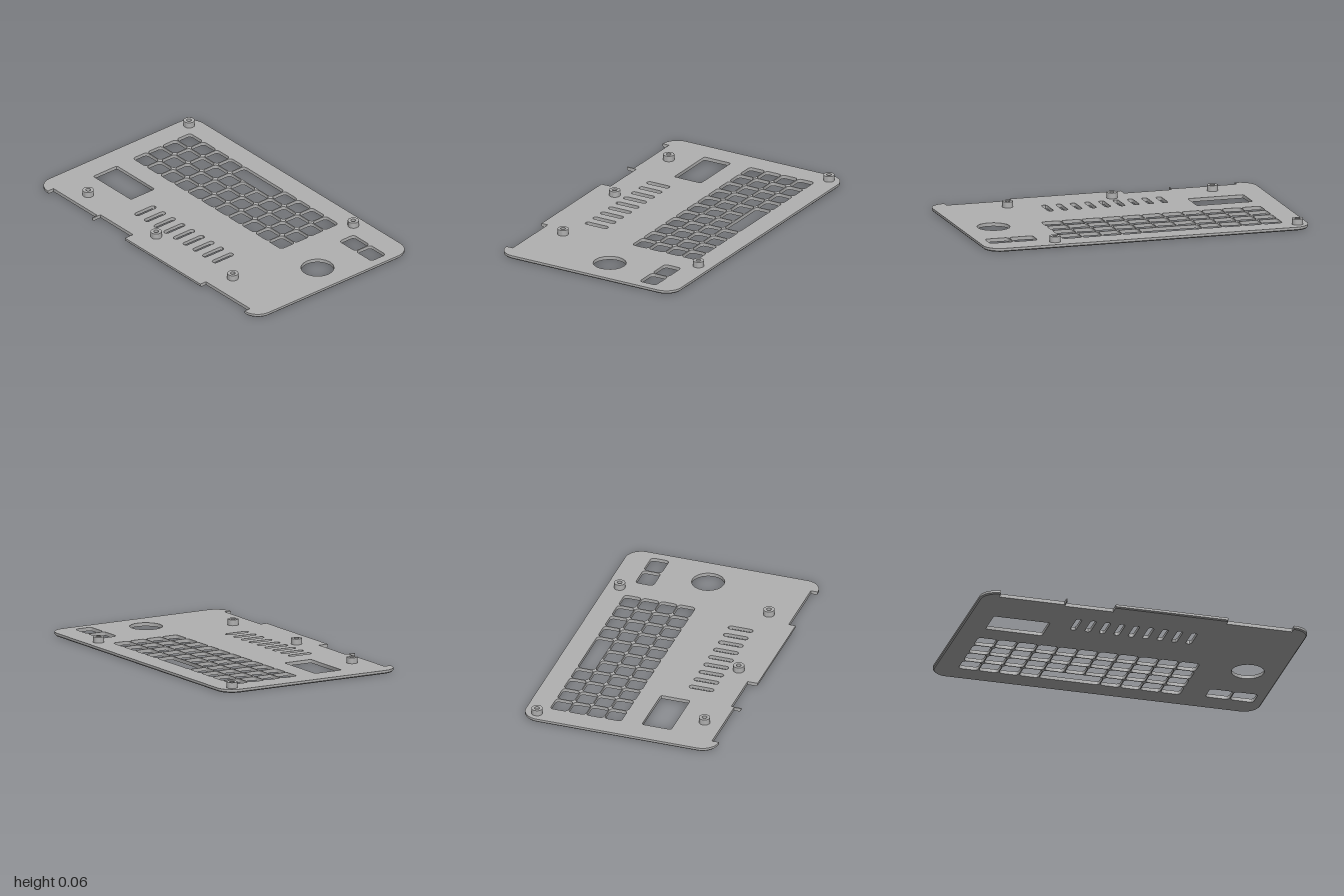
import * as THREE from 'three';
import { toCreasedNormals } from 'three/addons/utils/BufferGeometryUtils.js';

const W = 1, D = 0.6, R = 0.1;          // half width, half depth, corner radius
const THICK = 0.021, CHAMFER = 0.007;   // plate thickness, lower edge chamfer

// Shapes are drawn with y = -z, then laid flat.
function roundedRect(x0, x1, z0, z1, r) {
  const p = new THREE.Path(), a = -z1, b = -z0, H = Math.PI / 2;
  p.absarc(x1 - r, a + r, r, -H, 0);
  p.absarc(x1 - r, b - r, r, 0, H);
  p.absarc(x0 + r, b - r, r, H, 2 * H);
  p.absarc(x0 + r, a + r, r, 2 * H, 3 * H);
  p.closePath();
  return p;
}

// Outer outline with the connector notches and thin tab along the front edge
function plateOutline() {
  const s = new THREE.Shape(), H = Math.PI / 2;
  s.absarc(W - R, D - R, R, 0, H);
  s.absarc(-W + R, D - R, R, H, 2 * H);
  s.absarc(-W + R, -D + R, R, 2 * H, 3 * H);
  const front = [
    [-0.897, 0.6], [-0.897, 0.557], [-0.497, 0.557], [-0.497, 0.6], [-0.49, 0.6],
    [-0.49, 0.538], [-0.194, 0.538], [-0.194, 0.6],
    [0.494, 0.6], [0.494, 0.557], [0.896, 0.557], [0.896, 0.6],
  ];
  front.forEach(([x, z]) => s.lineTo(x, -z));
  s.absarc(W - R, -D + R, R, 3 * H, 4 * H);
  s.closePath();
  return s;
}

// Pull the lowest ring of the outer rim inwards
function chamferRim(geo) {
  const p = geo.attributes.position;
  for (let i = 0; i < p.count; i++) {
    if (p.getY(i) > 1e-4) continue;
    const x = p.getX(i), z = p.getZ(i);
    const cx = THREE.MathUtils.clamp(x, -W + R, W - R);
    const cz = THREE.MathUtils.clamp(z, -D + R, D - R);
    const d = Math.hypot(x - cx, z - cz);
    if (d > R - CHAMFER) {
      const k = (R - CHAMFER) / d;
      p.setX(i, cx + (x - cx) * k);
      p.setZ(i, cz + (z - cz) * k);
    }
  }
}

export function createModel() {
  const model = new THREE.Group();
  model.name = 'keyboardFacePlate';
  const grey = new THREE.MeshStandardMaterial({ color: 0xb0b0b0 });
  grey.name = 'plastic grey';

  const outline = plateOutline();
  const cut = (...a) => outline.holes.push(roundedRect(...a));

  // Key openings: 4 rows of 11, with a three-column bar in the rear row
  const px = 0.1237, pz = 0.1123, gap = 0.006;
  for (let row = 0; row < 4; row++) {
    for (let col = 0; col < 11; col++) {
      if (row === 0 && (col === 5 || col === 6)) continue;
      const span = row === 0 && col === 4 ? 3 : 1;
      const x = -0.862 + col * px, z = -0.468 + row * pz;
      cut(x + gap / 2, x + span * px - gap / 2, z + gap / 2, z + pz - gap / 2, 0.022);
    }
  }
  // Two side buttons, display window, round opening
  cut(0.648, 0.793, -0.452, -0.34, 0.022);
  cut(0.8, 0.943, -0.452, -0.34, 0.022);
  cut(-0.853, -0.508, 0.105, 0.288, 0.012);
  const round = new THREE.Path();
  round.absarc(0.796, 0.048, 0.098, 0, Math.PI * 2);
  outline.holes.push(round);
  // Speaker slots
  for (let i = 0; i < 9; i++) {
    const x = -0.355 + i * 0.0883;
    cut(x - 0.0175, x + 0.0175, 0.23, 0.383, 0.0174);
  }

  const plateGeo = new THREE.ExtrudeGeometry(outline, {
    depth: THICK, steps: 3, bevelEnabled: false, curveSegments: 10,
  });
  plateGeo.rotateX(-Math.PI / 2);
  chamferRim(plateGeo);
  const plate = new THREE.Mesh(toCreasedNormals(plateGeo, 0.6), grey);
  plate.name = 'plate';
  model.add(plate);

  // Hollow screw bosses
  const profile = [[0.033, THICK - 0.002], [0.033, 0.056], [0.0145, 0.056], [0.0145, THICK - 0.002]]
    .map(([x, y]) => new THREE.Vector2(x, y));
  const bossGeo = toCreasedNormals(new THREE.LatheGeometry(profile, 32), 0.6);
  [[-0.933, -0.52], [0.565, -0.52], [-0.711, 0.447], [-0.09, 0.447], [0.565, 0.41]].forEach(([x, z]) => {
    const boss = new THREE.Mesh(bossGeo, grey);
    boss.name = 'screwBoss';
    boss.position.set(x, 0, z);
    model.add(boss);
  });
  return model;
}
